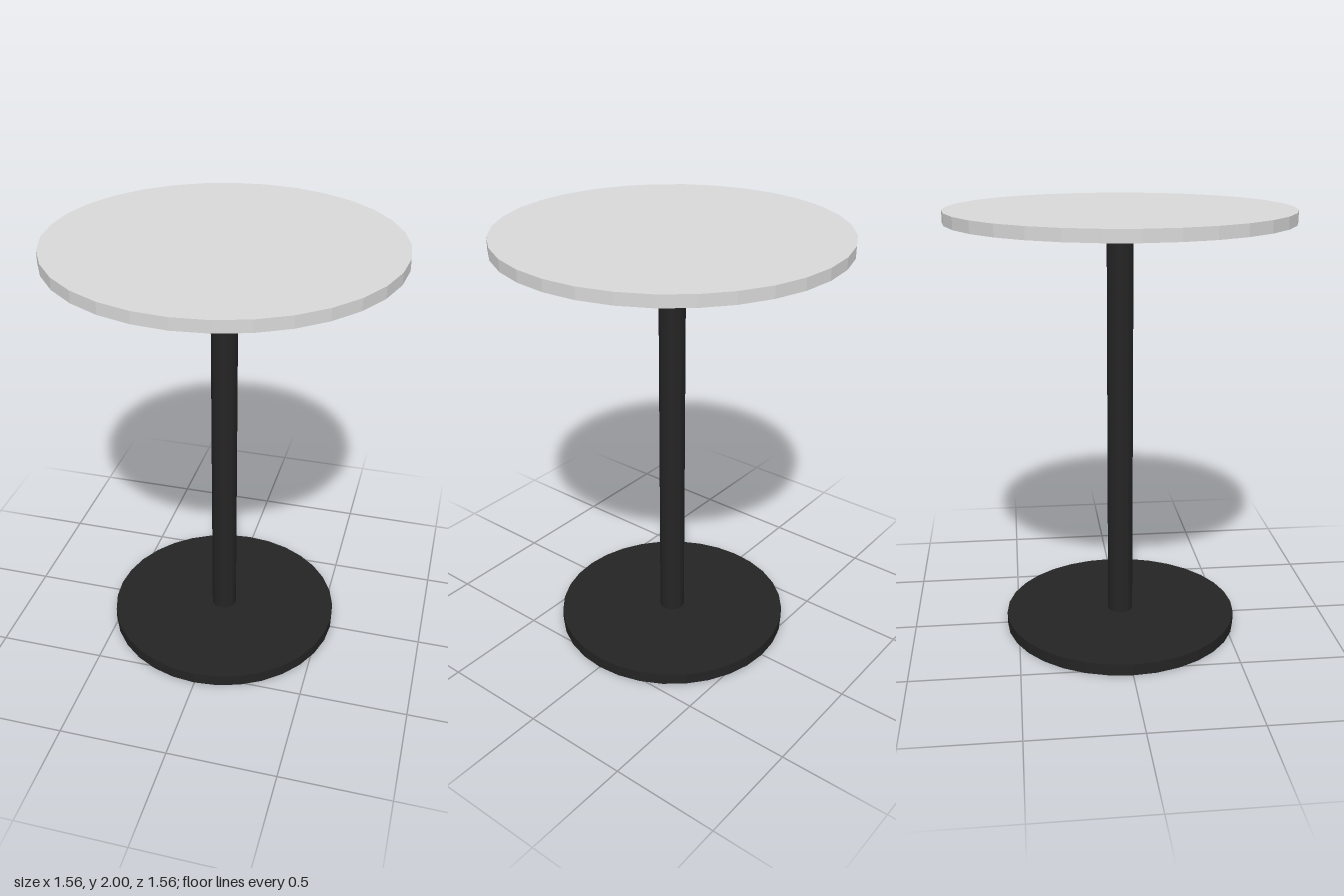
import * as THREE from 'three';

const SIDES = 32;

export function createModel() {
  const table = new THREE.Group();
  table.name = 'pedestalTable';

  const paleTop = new THREE.MeshStandardMaterial({ color: 0xd9d9d9, flatShading: true });
  paleTop.name = 'pale grey top';
  const blackMetal = new THREE.MeshStandardMaterial({ color: 0x242424, flatShading: true });
  blackMetal.name = 'black metal';

  // Upright disc or column spanning two heights
  function addRound(name, radius, bottom, top, material) {
    const geometry = new THREE.CylinderGeometry(radius, radius, top - bottom, SIDES);
    const mesh = new THREE.Mesh(geometry, material);
    mesh.name = name;
    mesh.position.y = (bottom + top) / 2;
    table.add(mesh);
  }

  addRound('base', 0.555, 0, 0.055, blackMetal);
  addRound('column', 0.06, 0.055, 1.947, blackMetal);
  addRound('tabletop', 0.778, 1.947, 2, paleTop);

  return table;
}
